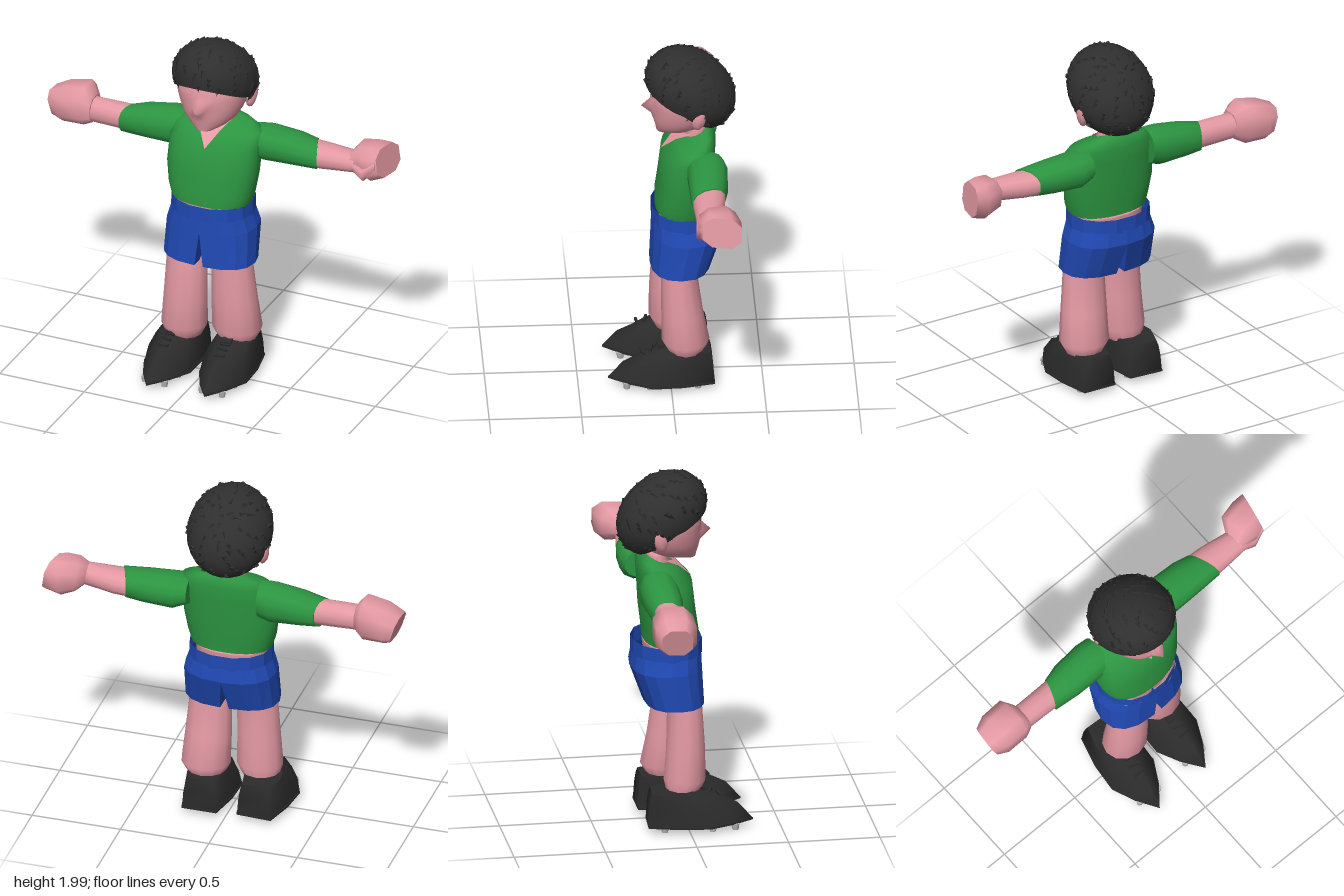
import * as THREE from 'three';
import { mergeGeometries } from 'three/addons/utils/BufferGeometryUtils.js';

const mat = (name, color) => {
  const m = new THREE.MeshStandardMaterial({ color, side: THREE.DoubleSide });
  m.name = name;
  return m;
};

// Skin between successive rings of [x, y, z] points, with optional end caps
function loft(rings, { caps = true, flat = false } = {}) {
  const n = rings[0].length, pos = rings.flat(2), idx = [];
  for (let i = 0; i < rings.length - 1; i++) {
    for (let j = 0; j < n; j++) {
      const a = i * n + j, b = i * n + (j + 1) % n;
      idx.push(a, a + n, b, b, a + n, b + n);
    }
  }
  if (caps) {
    [rings[0], rings[rings.length - 1]].forEach((ring, end) => {
      const base = pos.length / 3;
      pos.push(...ring.flat());
      pos.push(...[0, 1, 2].map(k => ring.reduce((s, p) => s + p[k], 0) / n));
      for (let j = 0; j < n; j++) {
        const a = base + j, b = base + (j + 1) % n;
        if (end) idx.push(base + n, b, a); else idx.push(base + n, a, b);
      }
    });
  }
  let g = new THREE.BufferGeometry();
  g.setAttribute('position', new THREE.Float32BufferAttribute(pos, 3));
  g.setIndex(idx);
  if (flat) g = g.toNonIndexed();
  g.computeVertexNormals();
  return g;
}

// Rounded-box curve: p = 2 is an ellipse, larger is squarer
function oval(n, p, turn = 0) {
  return Array.from({ length: n }, (_, j) => {
    const a = (j + turn) / n * Math.PI * 2, c = Math.cos(a), s = Math.sin(a);
    return [Math.sign(c) * Math.abs(c) ** (2 / p), Math.sign(s) * Math.abs(s) ** (2 / p)];
  });
}

// Rows [y, centreX, centreZ, radiusX, radiusZ, forwardDrop] stacked upward
const upright = (rows, n, p = 2, opts = {}) =>
  loft(rows.map(([y, cx, cz, rx, rz, drop = 0]) =>
    oval(n, p).map(([c, s]) => [cx + rx * c, y - drop * s, cz + rz * s])), opts);

// Rows [x, centreY, centreZ, radiusY, radiusZ, slantZ, slantY] along x
const sideways = (rows, n, p = 2, opts = {}) =>
  loft([...rows].sort((a, b) => a[0] - b[0]).map(([x, cy, cz, ry, rz, kz = 0, ky = 0]) =>
    oval(n, p, 0.5).map(([c, s]) => [x + kz * c + ky * s, cy + ry * s, cz + rz * c])), opts);

export function createModel() {
  const skin = mat('skin', 0xe499a3), green = mat('shirt green', 0x2c9541);
  const blue = mat('shorts blue', 0x2049b4), black = mat('hair black', 0x2f2f2f);
  const shoeBlack = mat('shoe black', 0x2b2b2b), grey = mat('stud grey', 0xb4b4b4);
  const model = new THREE.Group();
  const add = (name, geo, material, parent = model) => {
    const m = new THREE.Mesh(geo, material);
    m.name = name;
    parent.add(m);
    return m;
  };

  // Head, with the nose pulled out of the front of the face
  const head = upright([
    [1.5, 0, 0.025, 0.05, 0.045], [1.525, 0, -0.035, 0.105, 0.11], [1.56, 0, -0.065, 0.145, 0.15],
    [1.6, 0, -0.077, 0.168, 0.17], [1.645, 0, -0.085, 0.186, 0.18], [1.69, 0, -0.085, 0.196, 0.184],
    [1.73, 0, -0.085, 0.2, 0.185], [1.81, 0, -0.09, 0.185, 0.175], [1.9, 0, -0.09, 0.11, 0.11]], 28);
  const hp = head.attributes.position;
  for (let i = 0; i < hp.count; i++) {
    const d = Math.hypot(hp.getX(i), hp.getY(i) - 1.645);
    if (hp.getZ(i) > 0) hp.setZ(i, hp.getZ(i) + 0.058 * Math.max(0, 1 - d / 0.05));
  }
  head.computeVertexNormals();
  add('head', head, skin);

  // Neck, spreading into the collar, and ears
  add('neck', upright([[1.4, 0, -0.14, 0.08, 0.06], [1.505, 0, -0.14, 0.098, 0.068, 0.03],
    [1.53, 0, -0.13, 0.075, 0.06], [1.6, 0, -0.1, 0.08, 0.07]], 16), skin);
  for (const s of [1, -1]) {
    const ear = add(s > 0 ? 'leftEar' : 'rightEar', new THREE.SphereGeometry(1, 8, 6), skin);
    ear.scale.set(0.03, 0.07, 0.04);
    ear.position.set(s * 0.2, 1.66, -0.15);
    ear.rotation.set(-0.2, 0, -s * 0.15);
  }

  // Hair: a tilted dome with a longer fringe and scattered flat tufts
  const hair = new THREE.Group();
  hair.name = 'hair';
  hair.position.set(0, 1.75, -0.115);
  hair.rotation.x = -0.67;
  model.add(hair);
  const rim = a => 1.96 + 0.28 * Math.max(0, Math.sin(a)) ** 0.7;
  const onDome = (t, a) => [0.234 * Math.sin(t) * Math.cos(a), 0.2 * Math.cos(t),
    0.27 * Math.sin(t) * Math.sin(a)];
  const domeRings = [];
  for (let i = 0; i <= 14; i++) {
    domeRings.push(Array.from({ length: 28 }, (_, j) => {
      const a = j / 28 * Math.PI * 2;
      return onDome(rim(a) * (1 - i / 14) + 0.01, a);
    }));
  }
  add('hairDome', loft(domeRings, { caps: false }), black, hair);
  const tufts = [];
  for (let i = 0; i < 130; i++) {
    const t = Math.acos(1 - 1.62 * (i + 0.5) / 130), a = i * 2.39996 + 0.25 * Math.sin(i * 7.3);
    if (t > rim(a)) continue;
    const p = new THREE.Vector3(...onDome(t, a));
    const dir = new THREE.Vector3(...onDome(t + 0.1, a)).sub(p).normalize()
      .addScaledVector(p.clone().normalize(), 0.12 + 0.1 * Math.sin(i * 3.1)).normalize();
    const g = new THREE.ConeGeometry(0.014, 0.05, 4);
    g.applyQuaternion(new THREE.Quaternion().setFromUnitVectors(new THREE.Vector3(0, 1, 0), dir));
    tufts.push(g.translate(p.x * 0.98, p.y * 0.98, p.z * 0.98));
  }
  add('hairTufts', mergeGeometries(tufts), black, hair);

  // Shirt with a collar dipping to the front, and the open neckline
  add('shirt', upright([
    [1.04, 0, -0.07, 0.226, 0.15], [1.1, 0, -0.072, 0.244, 0.152], [1.22, 0, -0.088, 0.262, 0.15],
    [1.38, 0.012, -0.1, 0.262, 0.145], [1.455, 0.016, -0.14, 0.25, 0.11],
    [1.485, 0.008, -0.145, 0.19, 0.09, 0.018], [1.502, 0, -0.14, 0.1, 0.07, 0.03]], 24, 2.3), green);
  const vee = new THREE.BufferGeometry();
  vee.setAttribute('position', new THREE.Float32BufferAttribute([
    0.008, 1.38, 0.049, 0.062, 1.463, -0.033, 0.1, 1.51, -0.12, 0, 1.475, -0.052,
    -0.1, 1.51, -0.12, -0.058, 1.463, -0.033], 3));
  vee.setIndex([0, 1, 3, 0, 3, 5, 1, 2, 3, 5, 3, 4]);
  vee.computeVertexNormals();
  add('neckline', vee, skin);

  // Waist, waistband and the two halves of the shorts
  add('waist', upright([[0.9, 0, -0.075, 0.19, 0.13], [1.03, 0, -0.08, 0.2, 0.14]], 14, 2.3), skin);
  const open = { caps: false, flat: true };
  add('waistband', upright([[0.96, 0, -0.09, 0.233, 0.191], [1.045, 0, -0.09, 0.231, 0.191]],
    14, 2.2, open), blue);
  for (const s of [1, -1]) {
    const rings = [[0.69, 0.025, 0.262, -0.055, 0.163], [0.89, 0, 0.256, -0.095, 0.196],
      [0.97, 0, 0.23, -0.09, 0.188]].map(([y, inner, rx, cz, rz]) => {
      const half = oval(16, 2.4, -4).slice(0, 9)
        .map(([c, z]) => [s * (inner + (rx - inner) * c), y, cz + rz * z]);
      return s > 0 ? half : half.reverse();
    });
    add(s > 0 ? 'shortsLeft' : 'shortsRight', loft(rings, open), blue);
  }

  // Legs
  add('leftLeg', upright([[0.2, 0.145, -0.08, 0.1, 0.09], [0.27, 0.146, -0.08, 0.138, 0.13],
    [0.45, 0.137, -0.062, 0.13, 0.112], [0.7, 0.128, -0.045, 0.116, 0.095],
    [0.88, 0.12, -0.06, 0.1, 0.09]], 12), skin);
  add('rightLeg', upright([[0.2, -0.145, -0.02, 0.1, 0.09], [0.27, -0.136, -0.01, 0.13, 0.115],
    [0.45, -0.128, -0.004, 0.122, 0.106], [0.68, -0.12, -0.008, 0.115, 0.096],
    [0.75, -0.12, -0.03, 0.1, 0.09], [0.88, -0.12, -0.06, 0.1, 0.09]], 12), skin);

  // Shoes with sole, tongue, laces and studs; half outlines run from toe to heel
  const outline = half => [...half.slice(1).reverse(), half[0],
    ...half.slice(1).map(([x, y, z]) => [-x, y, z])];
  const base = y => outline([[0, y, 0.338], [0.078, y, 0.225], [0.137, y, 0.1], [0.13, y, -0.06], [0.095, y, -0.23]]);
  for (const [name, x, z, turn] of [['leftShoe', 0.14, -0.003, 0], ['rightShoe', -0.178, 0.012, -0.06]]) {
    const shoe = new THREE.Group();
    shoe.name = name;
    shoe.position.set(x, 0, z);
    shoe.rotation.y = turn;
    model.add(shoe);
    add('upper', loft([
      base(0.045),
      outline([[0, 0.135, 0.26], [0.062, 0.14, 0.18], [0.122, 0.13, 0.085], [0.122, 0.135, -0.06], [0.09, 0.13, -0.225]]),
      outline([[0, 0.19, 0.15], [0.04, 0.19, 0.12], [0.1, 0.195, 0.04], [0.112, 0.195, -0.07], [0.082, 0.185, -0.218]]),
      outline([[0, 0.235, 0.03], [0.045, 0.232, 0.02], [0.09, 0.222, -0.02], [0.104, 0.22, -0.09], [0.073, 0.215, -0.21]]),
    ]), shoeBlack, shoe);
    const sole = add('sole', loft([base(0.032), base(0.045)], { flat: true }), shoeBlack, shoe);
    sole.scale.set(1.03, 1, 1.01);
    const tongue = add('tongue', new THREE.BoxGeometry(0.055, 0.012, 0.09), shoeBlack, shoe);
    tongue.position.set(0, 0.238, 0.035);
    tongue.rotation.x = 0.45;
    for (let i = 0; i < 4; i++) {
      const lace = add('lace', new THREE.BoxGeometry(0.062, 0.014, 0.014), shoeBlack, shoe);
      lace.position.set(0, 0.25 - i * 0.019, 0.02 + i * 0.045);
      lace.rotation.y = i % 2 ? 0.2 : -0.2;
    }
    for (const [sx, sz] of [[0.06, 0.242], [0.075, 0.118], [0.07, -0.142]]) {
      for (const s of [1, -1]) {
        const stud = add('stud', new THREE.CylinderGeometry(0.021, 0.017, 0.034, 8), grey, shoe);
        stud.position.set(s * sx, 0.017, sz);
      }
    }
  }

  // Arms: sleeve with a slanted hem, forearm, fist and thumb
  add('leftSleeve', sideways([[0.2, 1.385, -0.19, 0.075, 0.095], [0.28, 1.372, -0.192, 0.098, 0.112],
    [0.45, 1.37, -0.19, 0.088, 0.106], [0.575, 1.365, -0.184, 0.076, 0.094, 0.035]], 12, 2.2), green);
  add('leftForearm', sideways([[0.5, 1.365, -0.188, 0.07, 0.09], [0.62, 1.365, -0.183, 0.068, 0.088],
    [0.82, 1.375, -0.172, 0.056, 0.066]], 12, 2.2), skin);
  add('leftFist', sideways([[0.775, 1.38, -0.175, 0.045, 0.06], [0.83, 1.388, -0.215, 0.09, 0.105, 0.015, -0.01],
    [0.9, 1.378, -0.225, 0.106, 0.122, -0.01], [0.968, 1.39, -0.235, 0.09, 0.112, -0.022, -0.012]], 8, 2.6), skin);
  add('leftThumb', sideways([[0.81, 1.37, -0.13, 0.03, 0.03], [0.87, 1.335, -0.125, 0.045, 0.03],
    [0.94, 1.395, -0.14, 0.03, 0.025]], 6), skin);
  add('rightSleeve', sideways([[-0.19, 1.385, -0.165, 0.1, 0.1], [-0.26, 1.375, -0.167, 0.112, 0.107],
    [-0.42, 1.365, -0.163, 0.096, 0.1], [-0.535, 1.35, -0.16, 0.078, 0.08, -0.028]], 12, 2.2), green);
  add('rightForearm', sideways([[-0.46, 1.355, -0.16, 0.07, 0.075], [-0.62, 1.358, -0.16, 0.072, 0.07],
    [-0.77, 1.36, -0.16, 0.069, 0.068]], 12, 2.2), skin);
  add('rightFist', sideways([[-0.735, 1.365, -0.16, 0.075, 0.075], [-0.785, 1.382, -0.178, 0.118, 0.118],
    [-0.91, 1.367, -0.178, 0.106, 0.118], [-0.97, 1.35, -0.18, 0.082, 0.088, -0.008, -0.025]], 8, 2.6), skin);

  return model;
}
